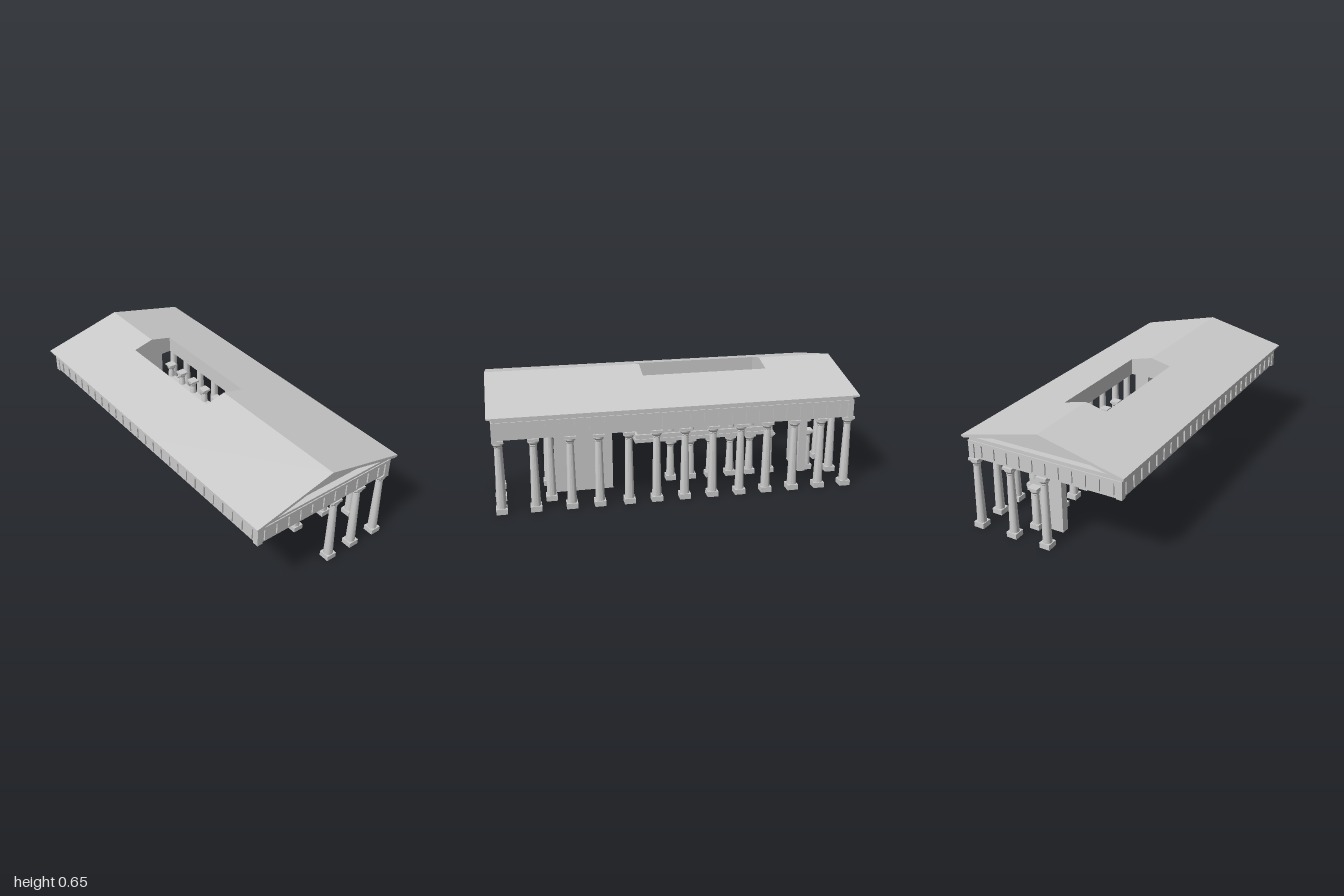
import * as THREE from 'three';
import { toCreasedNormals } from 'three/addons/utils/BufferGeometryUtils.js';

const grey = new THREE.MeshStandardMaterial({ color: 0xcccccc });

export function createModel() {
  const model = new THREE.Group();

  const add = (name, geometry, parent = model) => {
    const mesh = new THREE.Mesh(geometry, grey);
    mesh.name = name;
    parent.add(mesh);
    return mesh;
  };

  // box given by its limits on each axis
  const box = (name, [x0, x1], [y0, y1], [z0, z1], parent) =>
    add(name, new THREE.BoxGeometry(x1 - x0, y1 - y0, z1 - z0), parent)
      .position.set((x0 + x1) / 2, (y0 + y1) / 2, (z0 + z1) / 2);

  // prism along x from a [z, y] cross-section
  const prism = (name, points, x0, x1) => {
    const shape = new THREE.Shape(points.map(([z, y]) => new THREE.Vector2(-z, y)));
    const g = new THREE.ExtrudeGeometry(shape, { depth: x1 - x0, bevelEnabled: false });
    g.rotateY(Math.PI / 2).translate(x0, 0, 0);
    return add(name, g);
  };

  // rectangular ring lying flat, with a rectangular opening
  const ring = (name, [x0, x1], [y0, y1], [z0, z1], [hx0, hx1], [hz0, hz1]) => {
    const rect = (Type, a, b, c, d) => new Type([[a, c], [b, c], [b, d], [a, d]].map(p => new THREE.Vector2(...p)));
    const shape = rect(THREE.Shape, x0, x1, -z1, -z0);
    shape.holes.push(rect(THREE.Path, hx0, hx1, -hz1, -hz0));
    const g = new THREE.ExtrudeGeometry(shape, { depth: y1 - y0, bevelEnabled: false });
    g.rotateX(-Math.PI / 2).translate(0, y0, 0);
    add(name, g);
  };

  // Doric column: plinth, tapered shaft, flared capital and abacus
  const column = (name, x, z, y0, y1, s = 1, plinth = 0.03) => {
    const group = new THREE.Group();
    group.name = name;
    const h = y1 - y0, w = 0.03 * s, ab = 0.014 * s;
    if (plinth) box('plinth', [-w, w], [0, plinth], [-w, w], group);
    const profile = [
      [0.026, plinth], [0.0255, plinth + 0.01], [0.019, h - ab - 0.03 * s], [0.021, h - ab - 0.027 * s],
      [0.02, h - ab - 0.022 * s], [0.03, h - ab - 0.009 * s], [0.03, h - ab],
    ].map(([r, y]) => new THREE.Vector2(r * s, y));
    add('shaft', toCreasedNormals(new THREE.LatheGeometry(profile, 16), 0.5), group);
    box('abacus', [-w, w], [h - ab, h], [-w, w], group);
    group.position.set(x, y0, z);
    model.add(group);
  };

  // Rear row and the standing columns of the two ends
  for (const x of [-0.96, -0.805, -0.65, -0.495, -0.345, -0.19, -0.035, 0.12, 0.27, 0.43, 0.58, 0.77, 0.95])
    column('rearColumn', x, -0.42, 0, 0.41);
  for (const z of [-0.21, -0.005]) column('leftEndColumn', -0.96 + 0.003, z, 0, 0.41);
  for (const z of [-0.25, -0.085]) column('rightEndColumn', 0.95, z, 0, 0.41);
  for (const z of [-0.30, -0.09]) column('porchColumn', 0.68, z, 0, 0.41);

  // Inner two-storey colonnade
  for (const i of [0, 2, 3, 4, 5, 6, 7]) {
    const x = -0.834 + i * 0.1175;
    column('innerLowerColumn', x, -0.155, 0, 0.245, 0.95);
    column('innerUpperColumn', x, -0.155, 0.3, 0.41, 0.85, 0);
  }

  // Stepped frame carried by the inner colonnade
  ring('innerFrameLower', [-0.615, 0.197], [0.245, 0.265], [-0.187, 0.165], [-0.57, 0.15], [-0.13, 0.122]);
  ring('innerFrameMiddle', [-0.61, 0.192], [0.265, 0.29], [-0.182, 0.16], [-0.57, 0.15], [-0.13, 0.122]);
  ring('innerFrameUpper', [-0.598, 0.18], [0.29, 0.325], [-0.17, 0.146], [-0.57, 0.15], [-0.13, 0.122]);

  // Remaining chamber walls
  box('leftWall', [-0.815, -0.77], [0, 0.53], [-0.2, -0.005]);
  box('rightWallPier', [0.33, 0.44], [0, 0.53], [-0.215, -0.125]);
  box('rightWall', [0.44, 0.65], [0, 0.53], [-0.215, -0.165]);

  // Entablature: architrave and frieze, band and cornice
  const inX = [-0.9, 0.9], inZ = [-0.37, 0.37];
  ring('frieze', [-0.972, 0.972], [0.41, 0.495], [-0.44, 0.44], inX, inZ);
  ring('friezeBand', [-0.98, 0.98], [0.492, 0.508], [-0.448, 0.448], inX, inZ);
  ring('entablatureTop', [-0.975, 0.975], [0.508, 0.53], [-0.443, 0.443], inX, inZ);
  ring('cornice', [-0.985, 0.985], [0.526, 0.534], [-0.458, 0.458], inX, inZ);

  // Raised frieze blocks on all four sides, with corner blocks
  const y = [0.425, 0.492], half = 0.018;
  for (const s of [-1, 1]) {
    const zs = [s * 0.44 - 0.008, s * 0.44 + 0.008], xs = [s * 0.972 - 0.008, s * 0.972 + 0.008];
    for (let k = -12; k <= 12; k++) box('sideFriezeBlock', [k * 0.0765 - half, k * 0.0765 + half], y, zs);
    for (let k = -5; k <= 5; k++) box('endFriezeBlock', xs, y, [k * 0.077 - half, k * 0.077 + half]);
    for (const t of [-1, 1])
      box('cornerBlock', [s * 0.964 - 0.016, s * 0.964 + 0.016], [0.41, 0.492], [t * 0.432 - 0.016, t * 0.432 + 0.016]);
  }

  // Roof: solid prisms left around the rectangular opening
  const eave = 0.47, slope = 0.113 / eave, top = z => 0.653 - slope * Math.abs(z);
  const hole = { x: [-0.57, 0.14], z: [-0.13, 0.12] };
  const core = [[-0.44, 0.528], [0.44, 0.528], [0.44, top(0.44) - 0.01], [0, 0.643], [-0.44, top(0.44) - 0.01]];
  prism('leftRoofBody', core, -0.95, hole.x[0]);
  prism('rightRoofBody', core, hole.x[1], 0.95);
  const covering = [
    [-eave, top(eave)], [-eave, top(eave) - 0.008], [-0.455, top(eave) - 0.013], [0, 0.637],
    [0.455, top(eave) - 0.013], [eave, top(eave) - 0.008], [eave, top(eave)], [0, 0.653],
  ];
  prism('leftRoofCovering', covering, -1, hole.x[0]);
  prism('rightRoofCovering', covering, hole.x[1], 1);
  hole.z.forEach((z, i) => {
    const s = i ? 1 : -1;
    prism(i ? 'frontMiddleRoof' : 'rearMiddleRoof', [
      [z, 0.528], [s * 0.455, 0.528], [s * 0.455, top(eave) - 0.013],
      [s * eave, top(eave) - 0.008], [s * eave, top(eave)], [z, top(z)],
    ], ...hole.x);
  });

  // Raking mouldings framing each pediment
  const chevron = (a, apex, t) => [
    [-a, 0.532], [-a + 4 * t, 0.532], [0, apex - t], [a - 4 * t, 0.532], [a, 0.532], [0, apex],
  ];
  for (const s of [-1, 1]) {
    prism('pedimentMoulding', chevron(0.40, 0.628, 0.006), s * 0.958 - 0.012, s * 0.958 + 0.012);
    prism('rakingCornice', chevron(0.445, 0.640, 0.012), s * 0.968 - 0.02, s * 0.968 + 0.02);
  }
  return model;
}
